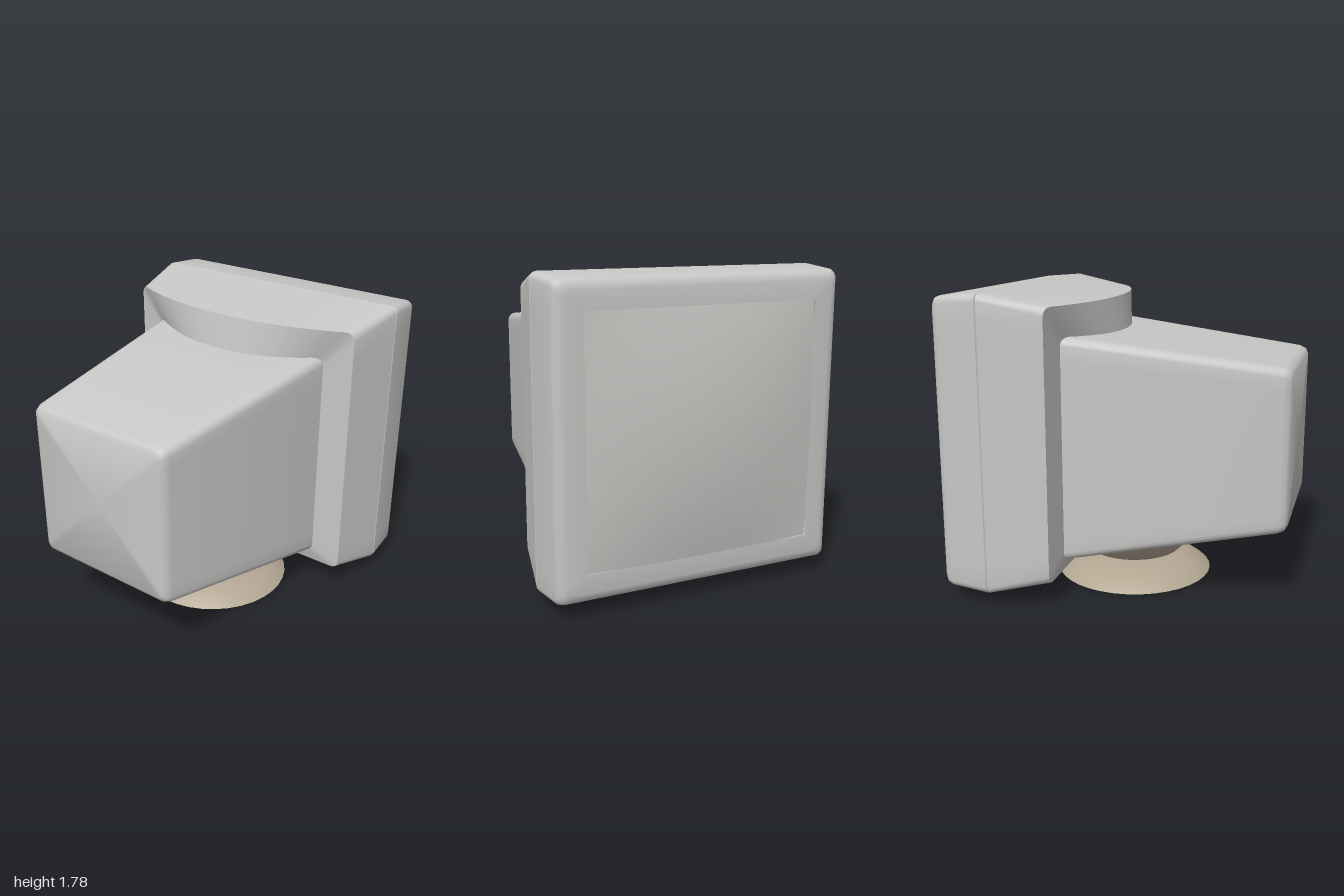
import * as THREE from 'three';
import { toCreasedNormals } from 'three/addons/utils/BufferGeometryUtils.js';

const EDGE = 14, ARC = 4;

// Rounded rectangle in the z-y plane at a given x; hood pulls the top edge backwards in an arc
function ring({ x, y0, y1, hz, r = 0.04, hood = 0 }) {
  const cy = (y0 + y1) / 2, hy = (y1 - y0) / 2;
  const corners = [[1, 1, 0], [-1, 1, 1], [-1, -1, 2], [1, -1, 3]].map(([sz, sy, q]) => {
    const arc = [];
    for (let i = 0; i <= ARC; i++) {
      const a = (q + i / ARC) * Math.PI / 2;
      arc.push([sz * (hz - r) + r * Math.cos(a), cy + sy * (hy - r) + r * Math.sin(a)]);
    }
    return arc;
  });
  const pts = [];
  corners.forEach((arc, k) => {
    pts.push(...arc);
    const a = arc[ARC], b = corners[(k + 1) % 4][0];
    for (let i = 1; i < EDGE; i++) {
      const t = i / EDGE;
      pts.push([a[0] + (b[0] - a[0]) * t, a[1] + (b[1] - a[1]) * t]);
    }
  });
  return pts.map(([z, y]) => {
    const pull = y > cy ? hood * (1 - Math.min(1, Math.abs(z) / hz) ** 2.2) : 0;
    return [x - pull, y, z];
  });
}

// Skin a list of rings from back to front, with optional flat ends
function loft(specs, capBack, capFront, crease = 0.6) {
  const rings = specs.map(ring), n = rings[0].length;
  const pos = rings.flat(2), idx = [];
  for (let k = 0; k < rings.length - 1; k++) {
    for (let i = 0; i < n; i++) {
      const j = (i + 1) % n, a = k * n, b = a + n;
      idx.push(a + i, b + i, b + j, a + i, b + j, a + j);
    }
  }
  const cap = (k, flip) => {
    const s = specs[k], c = pos.length / 3;
    pos.push(s.x, (s.y0 + s.y1) / 2, 0);
    for (let i = 0; i < n; i++) {
      const p = k * n + i, q = k * n + (i + 1) % n;
      idx.push(c, flip ? q : p, flip ? p : q);
    }
  };
  if (capBack) cap(0, false);
  if (capFront) cap(specs.length - 1, true);
  const g = new THREE.BufferGeometry();
  g.setAttribute('position', new THREE.Float32BufferAttribute(pos, 3));
  g.setIndex(idx);
  return toCreasedNormals(g, crease);
}

function lathe(points) {
  return toCreasedNormals(new THREE.LatheGeometry(points.map(p => new THREE.Vector2(...p)), 36), 0.6);
}

export function createModel() {
  const model = new THREE.Group();
  model.name = 'monitor';
  const casing = new THREE.MeshStandardMaterial({ color: 0xc8c7c5 });
  casing.name = 'casing grey';
  const glass = new THREE.MeshStandardMaterial({ color: 0xc8c6c3, side: THREE.DoubleSide });
  glass.name = 'screen grey';
  const tan = new THREE.MeshStandardMaterial({ color: 0xb3a793 });
  tan.name = 'stand tan';

  const add = (name, geometry, material) => {
    const mesh = new THREE.Mesh(geometry, material);
    mesh.name = name;
    model.add(mesh);
  };

  // Tapered housing behind the screen
  add('rearHousing', loft([
    { x: -1, y0: 0.5, y1: 1.35, hz: 0.43, r: 0.03 },
    { x: -0.985, y0: 0.475, y1: 1.375, hz: 0.455 },
    { x: -0.95, y0: 0.457, y1: 1.392, hz: 0.47, r: 0.05 },
    { x: 0.32, y0: 0.21, y1: 1.54, hz: 0.612, r: 0.05 },
  ], true, false, 0.7), casing);

  // Middle shell with the arched hood over the housing
  add('middleShell', loft([
    { x: 0.25, y0: 0.25, y1: 1.5, hz: 0.58, hood: 0.19 },
    { x: 0.28, y0: 0.145, y1: 1.708, hz: 0.78, hood: 0.18, r: 0.05 },
    { x: 0.63, y0: 0.073, y1: 1.777, hz: 0.85 },
    { x: 0.635, y0: 0.078, y1: 1.772, hz: 0.845 },
  ], false, true), casing);

  // Front bezel with rounded rim and a recess for the screen
  add('bezel', loft([
    { x: 0.635, y0: 0.078, y1: 1.772, hz: 0.845 },
    { x: 0.64, y0: 0.073, y1: 1.777, hz: 0.85 },
    { x: 0.86, y0: 0.09, y1: 1.76, hz: 0.835 },
    { x: 0.89, y0: 0.1, y1: 1.75, hz: 0.825 },
    { x: 0.908, y0: 0.12, y1: 1.73, hz: 0.805 },
    { x: 0.915, y0: 0.15, y1: 1.7, hz: 0.775 },
    { x: 0.916, y0: 0.25, y1: 1.6, hz: 0.677, r: 0.004 },
    { x: 0.88, y0: 0.25, y1: 1.6, hz: 0.677, r: 0.004 },
  ], true, true), casing);

  // Bulging screen
  const screen = new THREE.PlaneGeometry(1.35, 1.35, 18, 18);
  screen.rotateY(Math.PI / 2);
  const p = screen.attributes.position;
  for (let i = 0; i < p.count; i++) {
    const u = (p.getZ(i) / 0.675) ** 2, v = (p.getY(i) / 0.675) ** 2;
    p.setX(i, 0.995 - 0.07 * (u + v) + 0.05 * u * v);
  }
  screen.translate(0, 0.925, 0);
  screen.computeVertexNormals();
  add('screen', screen, glass);

  // Swivel stand: domed foot and the bowl above it
  add('foot', lathe([[0, 0], [0.48, 0], [0.45, 0.025], [0.39, 0.06], [0.3, 0.09], [0.19, 0.105], [0, 0.108]]), tan);
  add('swivelBowl', lathe([[0, 0.1], [0.19, 0.105], [0.29, 0.14], [0.35, 0.2], [0.42, 0.29], [0.47, 0.362], [0, 0.362]]), tan);

  return model;
}
